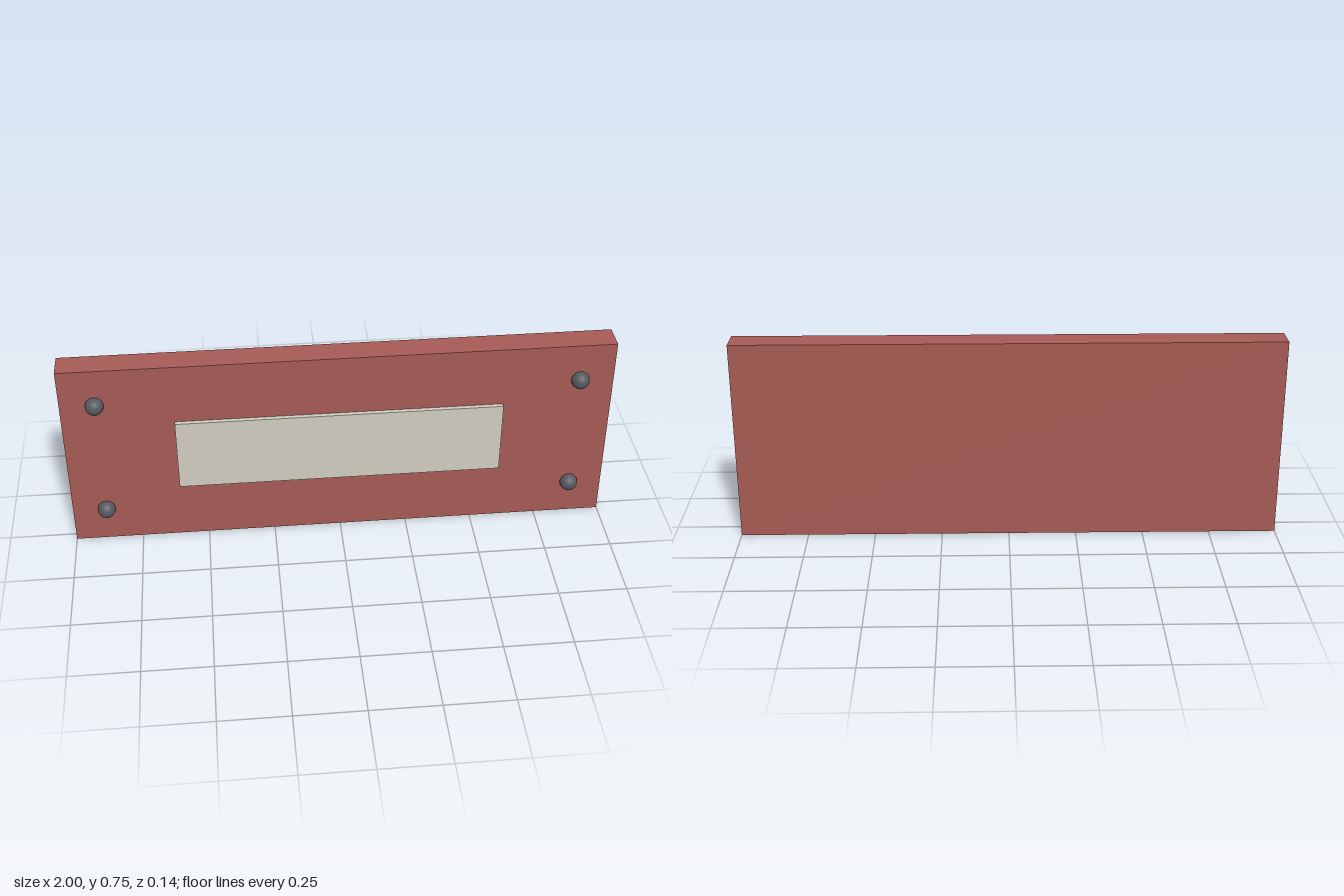
import * as THREE from 'three';

export function createModel() {
  const group = new THREE.Group();
  const boardMat = new THREE.MeshStandardMaterial({ color: 0xa55a54 });
  const plateMat = new THREE.MeshStandardMaterial({ color: 0xcfccc0 });
  const boltMat = new THREE.MeshStandardMaterial({ color: 0x55585e });

  const add = (name, geometry, material, x, y, z) => {
    const mesh = new THREE.Mesh(geometry, material);
    mesh.name = name;
    mesh.position.set(x, y, z);
    group.add(mesh);
  };

  // Backing board
  const midY = 0.376;
  add('board', new THREE.BoxGeometry(2, 0.752, 0.1), boardMat, 0, midY, -0.0205);

  // Raised panel, partly sunk into the board
  add('panel', new THREE.BoxGeometry(1.195, 0.284, 0.03), plateMat, 0, midY, 0.031);

  // Round bolt heads at the four corners
  const boltGeometry = new THREE.SphereGeometry(0.033, 24, 16);
  for (const [side, sx] of [['Left', 1], ['Right', -1]]) {
    for (const [level, sy] of [['upper', 1], ['lower', -1]]) {
      add(`${level}${side}Bolt`, boltGeometry, boltMat, sx * 0.875, midY + sy * 0.234, 0.038);
    }
  }
  return group;
}
